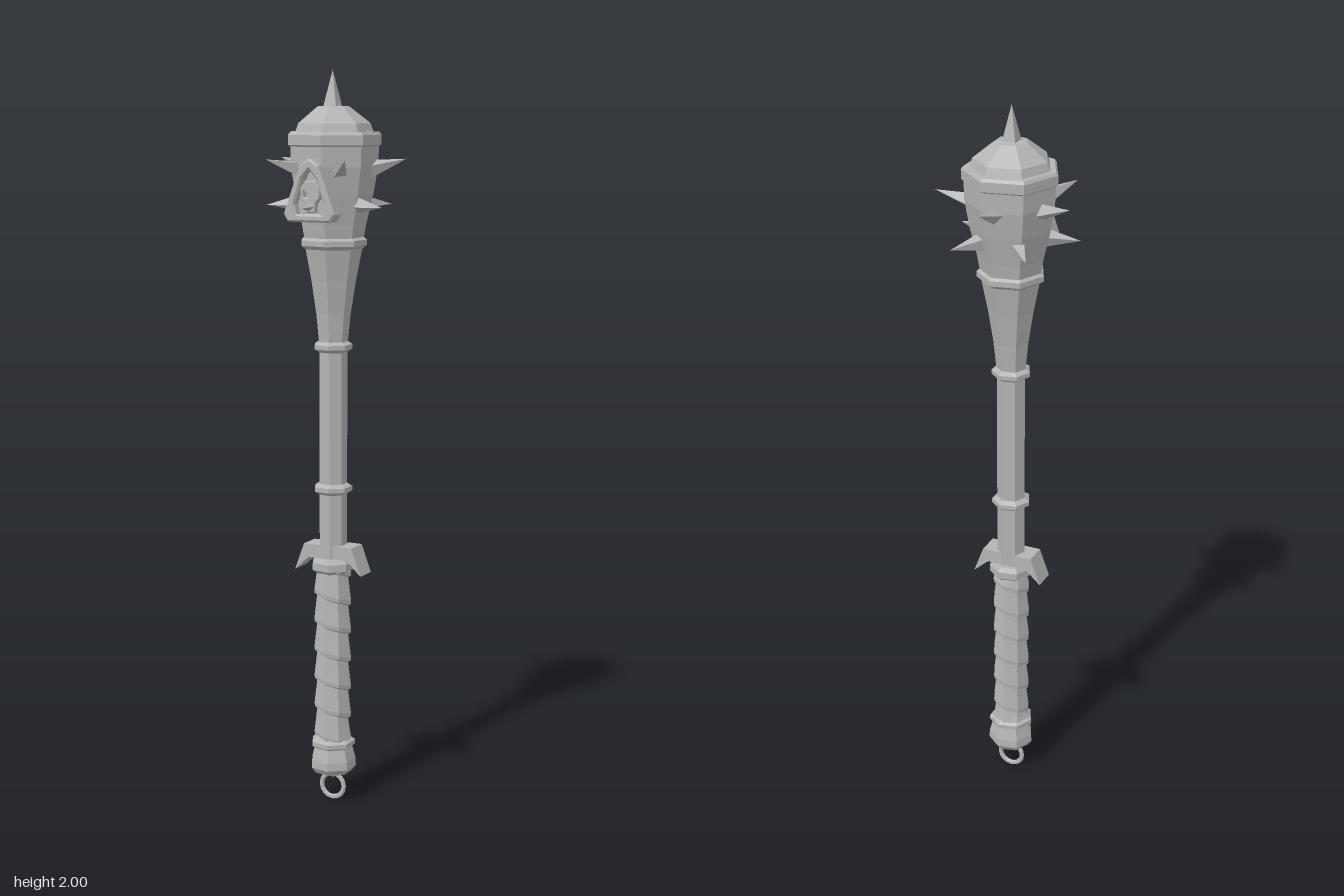
import * as THREE from 'three';

const SIDES = 7;
const steel = new THREE.MeshStandardMaterial({ color: 0xb4b4b4, flatShading: true });
steel.name = 'grey steel';

function part(name, geometry, parent) {
  const mesh = new THREE.Mesh(geometry, steel);
  mesh.name = name;
  parent.add(mesh);
  return mesh;
}

// Heptagonal turned part from [radius, height] pairs, listed bottom to top
function turned(name, profile, parent) {
  const points = profile.map(([r, y]) => new THREE.Vector2(r, y));
  return part(name, new THREE.LatheGeometry(points, SIDES, -Math.PI / 2), parent);
}

function band(name, y, r, h, parent) {
  const c = h * 0.3;
  turned(name, [[r - 0.014, y - h / 2], [r, y - h / 2 + c], [r, y + h / 2 - c], [r - 0.014, y + h / 2]], parent);
}

// Four-sided spike running from a base point to its tip
function spike(name, base, tip, radius, parent) {
  const length = base.distanceTo(tip);
  const mesh = part(name, new THREE.ConeGeometry(radius, length, 4), parent);
  mesh.position.copy(base).lerp(tip, 0.5);
  mesh.quaternion.setFromUnitVectors(new THREE.Vector3(0, 1, 0), tip.clone().sub(base).normalize());
  return mesh;
}

function polygon(points) {
  return new THREE.Shape(points.map(([x, y]) => new THREE.Vector2(x, y)));
}

function plate(name, shape, z, depth, bevel, parent) {
  const geometry = new THREE.ExtrudeGeometry(shape, {
    depth: depth - bevel, bevelEnabled: bevel > 0, bevelSize: bevel,
    bevelThickness: bevel, bevelOffset: -bevel, bevelSegments: 1, curveSegments: 4
  });
  const mesh = part(name, geometry, parent);
  mesh.position.z = z;
  return mesh;
}

// Overlapping spiral strip of the grip, swept as a stepped section
function gripWrap(bottom, top, turns) {
  const pitch = (top - bottom) / turns;
  const section = [[0.045, 0.5], [0.053, -0.32], [0.052, -0.45], [0.044, -0.5]];
  const n = section.length, steps = (turns + 1) * 8;
  const positions = [], index = [];
  for (let i = 0; i <= steps; i++) {
    const a = (i / 8) * Math.PI * 2;
    for (const [r, k] of section) {
      const y = top + pitch * (0.5 + k - i / 8);
      positions.push(r * Math.sin(a), THREE.MathUtils.clamp(y, bottom, top), r * Math.cos(a));
    }
    if (i === steps) break;
    for (let j = 0; j < n - 1; j++) {
      const p = i * n + j, q = p + n;
      index.push(p, p + 1, q, p + 1, q + 1, q);
    }
  }
  const geometry = new THREE.BufferGeometry();
  geometry.setAttribute('position', new THREE.Float32BufferAttribute(positions, 3));
  geometry.setIndex(index);
  geometry.computeVertexNormals();
  return geometry;
}

// Hooded skull badge on the front of the head
function emblem(parent) {
  const badge = new THREE.Group();
  badge.name = 'skullEmblem';
  parent.add(badge);

  const hood = polygon([[0, 0.085], [0.026, 0.066], [0.048, 0.01], [0.074, -0.06], [0.062, -0.08],
    [-0.062, -0.08], [-0.074, -0.06], [-0.048, 0.01], [-0.026, 0.066]]);
  hood.holes.push(polygon([[0, 0.056], [-0.022, 0.03], [-0.042, -0.035], [-0.036, -0.06],
    [0.036, -0.06], [0.042, -0.035], [0.022, 0.03]]));
  plate('hood', hood, 0.098, 0.042, 0.005, badge);
  plate('hoodBack', polygon([[0, 0.07], [0.06, -0.07], [-0.06, -0.07]]), 0.098, 0.018, 0, badge);

  const skull = polygon([[-0.014, 0.026], [0.014, 0.026], [0.028, 0.008], [0.027, -0.02], [0.016, -0.032],
    [0.014, -0.056], [-0.014, -0.056], [-0.016, -0.032], [-0.027, -0.02], [-0.028, 0.008]]);
  for (const s of [-1, 1]) {
    skull.holes.push(polygon([[s * 0.005, -0.008], [s * 0.02, 0.001], [s * 0.019, -0.016], [s * 0.009, -0.02]]));
  }
  skull.holes.push(polygon([[0, -0.022], [0.005, -0.034], [-0.005, -0.034]]));
  plate('skull', skull, 0.11, 0.022, 0.002, badge);
  badge.position.y = 1.69;
}

export function createModel() {
  const mace = new THREE.Group();
  mace.name = 'spikedMace';
  const body = new THREE.Group();
  body.name = 'body';
  body.position.z = 0.008;
  mace.add(body);

  // Head
  turned('head', [[0.082, 1.56], [0.089, 1.6], [0.108, 1.68], [0.12, 1.75], [0.122, 1.81]], body);
  turned('headRim', [[0.116, 1.798], [0.128, 1.806], [0.128, 1.832], [0.122, 1.84], [0.107, 1.84]], body);
  turned('dome', [[0.109, 1.835], [0.099, 1.862], [0.044, 1.905], [0, 1.908]], body);
  const crown = spike('crownSpike', new THREE.Vector3(0, 1.895, 0), new THREE.Vector3(0, 2, 0), 0.029, body);
  crown.geometry.rotateY(Math.PI / 4);

  // Two staggered rings of five spikes
  const rings = [
    { start: Math.PI, inner: 0.095, outer: 0.196, baseY: 1.742, tipY: 1.77 },
    { start: 0, inner: 0.08, outer: 0.178, baseY: 1.653, tipY: 1.647 }
  ];
  for (const { start, inner, outer, baseY, tipY } of rings) {
    for (let i = 0; i < 5; i++) {
      const a = start + (i / 5) * Math.PI * 2;
      spike('headSpike',
        new THREE.Vector3(inner * Math.sin(a), baseY, inner * Math.cos(a)),
        new THREE.Vector3(outer * Math.sin(a), tipY, outer * Math.cos(a)), 0.026, body);
    }
  }
  emblem(body);

  // Neck and shaft
  turned('neck', [[0.04, 1.28], [0.048, 1.36], [0.062, 1.45], [0.08, 1.54]], body);
  band('neckBand', 1.55, 0.091, 0.036, body);
  turned('shaft', [[0.039, 0.66], [0.039, 1.29]], body);
  for (const y of [0.885, 1.272]) band('shaftBand', y, 0.053, 0.03, body);

  // Guard with drooping pointed ends
  const guard = polygon([[-0.072, 0.73], [-0.1, 0.655], [-0.058, 0.693], [0.058, 0.693], [0.1, 0.655], [0.072, 0.73]]);
  plate('guard', guard, -0.032, 0.064, 0, body);

  // Grip
  turned('grip', [[0.043, 0.17], [0.043, 0.67]], body);
  part('gripWrap', gripWrap(0.18, 0.662, 6), body);
  turned('gripCollar', [[0.046, 0.652], [0.06, 0.662], [0.06, 0.682], [0.052, 0.694], [0.036, 0.694]], body);

  // Pommel and hanging ring
  band('pommelBand', 0.168, 0.062, 0.03, body);
  turned('pommel', [[0, 0.084], [0.052, 0.084], [0.064, 0.1], [0.063, 0.122], [0.053, 0.158]], body);
  const ring = part('hangingRing', new THREE.TorusGeometry(0.034, 0.007, 6, 16), body);
  ring.position.y = 0.041;
  spike('ringPeg', new THREE.Vector3(0, 0.095, 0), new THREE.Vector3(0, 0.06, 0), 0.014, body);

  return mace;
}
